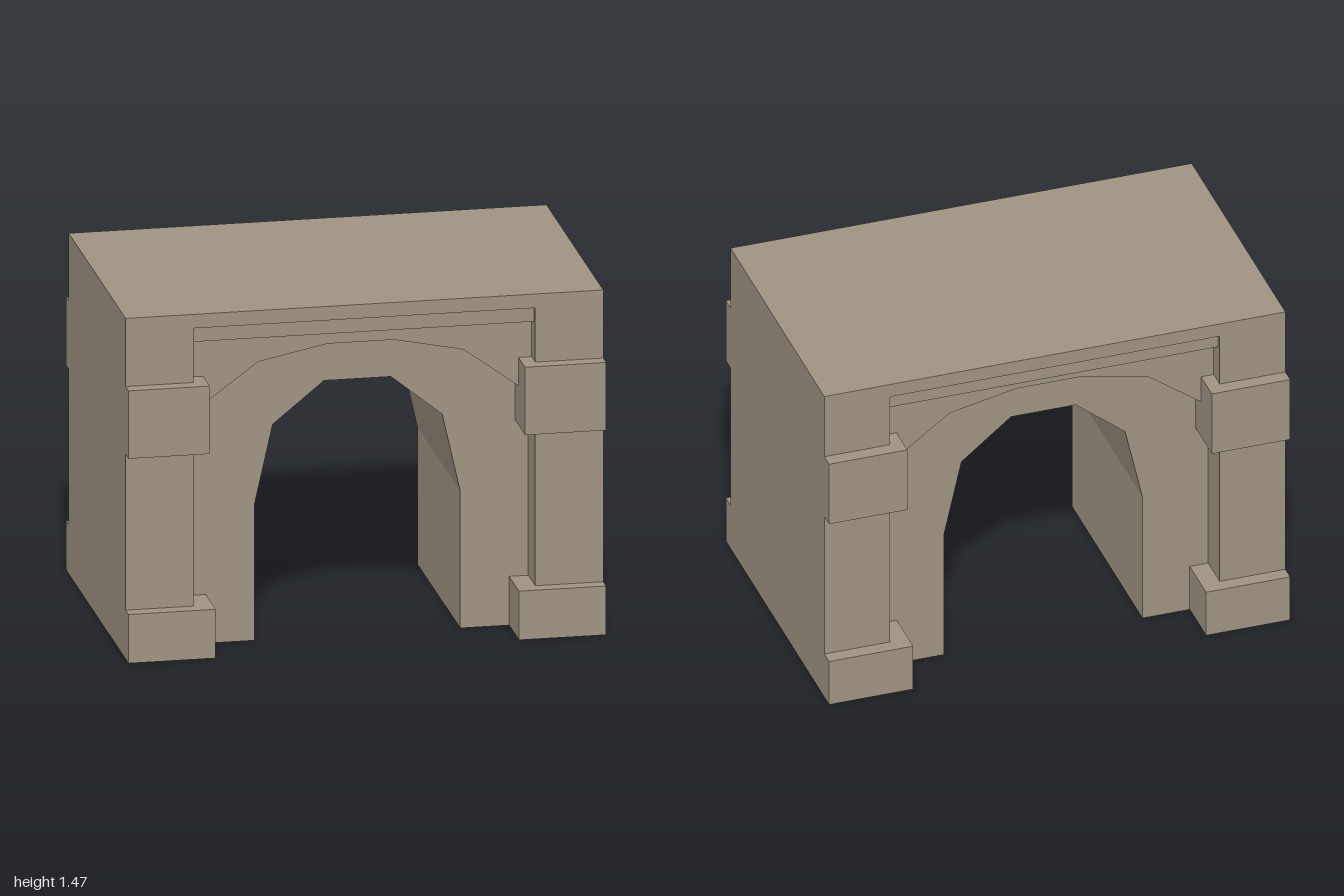
import * as THREE from 'three';

const stone = new THREE.MeshStandardMaterial({ color: 0x9f9382 });
stone.name = 'stone';

// Closed outline mirrored in x, from the points of its right half
function mirroredShape(half) {
  const left = half.map(([x, y]) => [-x, y]).reverse();
  return new THREE.Shape([...half, ...left].map(([x, y]) => new THREE.Vector2(x, y)));
}

// Slab of an outline between two depths
function slab(name, half, z0, z1) {
  const geo = new THREE.ExtrudeGeometry(mirroredShape(half), { depth: z1 - z0, bevelEnabled: false });
  geo.translate(0, 0, z0);
  const mesh = new THREE.Mesh(geo, stone);
  mesh.name = name;
  return mesh;
}

// Block from the outer wall inwards, on the side given by s
function block(name, s, xIn, y0, y1, z0, z1) {
  const geo = new THREE.BoxGeometry(1 - xIn, y1 - y0, z1 - z0);
  geo.translate(s * (1 + xIn) / 2, (y0 + y1) / 2, (z0 + z1) / 2);
  const mesh = new THREE.Mesh(geo, stone);
  mesh.name = name;
  return mesh;
}

export function createModel() {
  const model = new THREE.Group();
  model.name = 'stoneArchway';
  const H = 1.465, inner = 0.715, wallZ = 0.45, frameZ = 0.597;

  // Wall with the faceted tunnel through it
  model.add(slab('tunnelWall', [
    [0.14, 1.1], [0.355, 0.925], [0.43, 0.59], [0.43, 0], [1, 0], [1, H],
  ], -wallZ, wallZ));

  for (const face of [1, -1]) {
    const side = new THREE.Group();
    side.name = face > 0 ? 'frontFace' : 'backFace';
    if (face < 0) side.rotation.y = Math.PI;

    // Outer frame: two pillars and the lintel
    side.add(slab('outerFrame', [
      [inner, 1.405], [inner, 0], [1, 0], [1, H],
    ], wallZ, frameZ));

    // Stepped layers inside the frame
    side.add(slab('lintelLedge', [[inner, 1.34], [inner, 1.405]], wallZ, 0.575));
    side.add(slab('spandrelPanel', [
      [0.14, 1.28], [0.43, 1.22], [0.66, 1.05], [inner, 1.0], [inner, 1.34],
    ], wallZ, 0.52));

    // Pillar capitals and bases
    for (const s of [1, -1]) {
      side.add(block('pillarCapital', s, 0.66, 0.88, 1.172, wallZ, 0.658));
      side.add(block('pillarBase', s, 0.635, 0, 0.21, wallZ, 0.658));
    }
    model.add(side);
  }
  return model;
}
